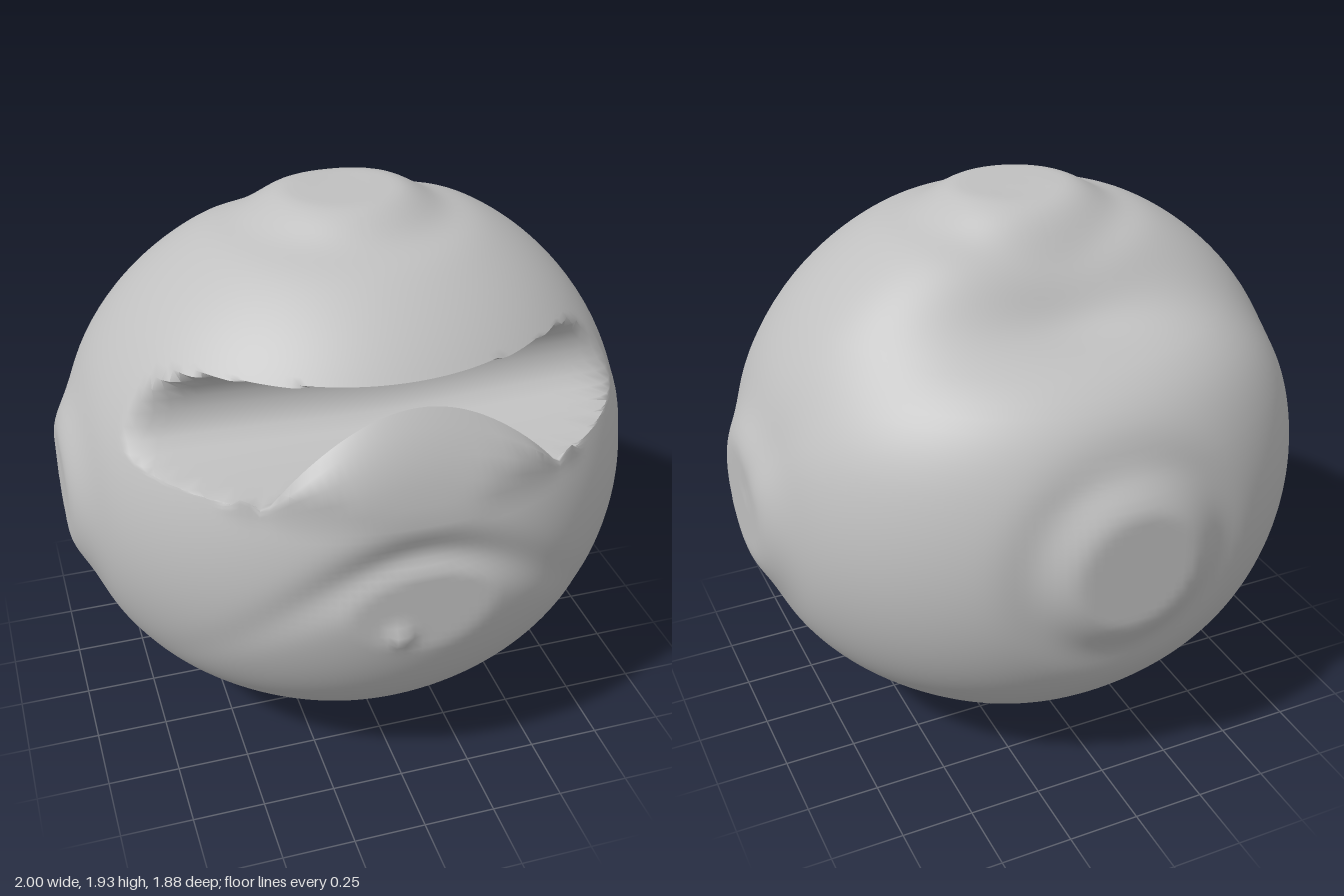
import * as THREE from 'three';
import { toCreasedNormals } from 'three/addons/utils/BufferGeometryUtils.js';

const CENTER = 0.965; // height of the ball's middle
const COLUMNS = 192;
const bell = (t, width) => Math.exp(-((t / width) ** 2));

// Distance from the middle to the lumpy skin along a unit direction
function skinRadius(x, y, z) {
  let r = 1 / Math.hypot(x, y / 0.965, z / 0.945);
  // flattened poles: a raised rim and a shallow ring dent, [cosine, rim, dent]
  const poles = [
    [x, 0.02, 0.004], [-x, 0.02, 0.004], [y, 0.018, 0.014], [-y, 0.01, 0.014], [-z, 0.016, 0.018],
  ];
  for (const [c, rim, dent] of poles) {
    const angle = Math.acos(Math.min(1, Math.max(-1, c)));
    r += rim * bell(angle - 0.2, 0.09) - dent * bell(angle - 0.37, 0.09);
  }
  // slightly leaner underside
  r -= 0.018 * bell(y + 0.76, 0.2);
  // hollow on the upper back
  const around = Math.atan2(-z, y);
  if (y > 0) r -= 0.17 * bell(around - 0.61, 0.26) * bell(x, 0.52);
  // arched crease below the lip
  if (z > 0) r -= 0.06 * bell(y - 0.11 + 0.9 * x * x, 0.09) * bell(x, 0.38);
  r = Math.min(r, 1 / Math.abs(x), CENTER / Math.abs(y), (z > 0 ? 0.91 : 0.94) / Math.abs(z));
  // small pimple on the front
  if (z > 0) r += 0.035 * Math.exp(-((x + 0.08) ** 2 + (y + 0.2) ** 2) / 0.0014);
  return r;
}

// How far the lower lip rises above the mouth floor
function lipRise(x) {
  const a = Math.abs(x);
  return 0.305 * Math.max(0, 1 - (a / 0.46) ** 2) ** 0.8 + 0.05 * bell(a - 0.51, 0.035);
}

// Minimum of two values with a rounded changeover of width k
function softMin(a, b, k) {
  const h = Math.max(k - Math.abs(a - b), 0);
  return Math.min(a, b) - (h * h) / (4 * k);
}

// Rows from top to bottom: polar angle, depth limit in z, share of lip rise
function makeRows() {
  const rows = [];
  const angleAt = (y) => Math.acos((y - CENTER) / 0.962);
  const capEdge = angleAt(1.59);
  for (let i = 0; i <= 34; i++) rows.push({ angle: (capEdge * i) / 34, limit: 9, lip: 0 });
  // mouth: ceiling, back wall, floor
  const mouth = [
    [0.66, 1.582], [0.57, 1.574], [0.49, 1.555], [0.44, 1.52], [0.41, 1.48], [0.4, 1.44], [0.4, 1.4],
    [0.41, 1.36], [0.43, 1.325], [0.47, 1.295], [0.52, 1.28], [0.58, 1.27], [0.65, 1.265], [0.72, 1.26],
  ];
  for (const [limit, y] of mouth) rows.push({ angle: angleAt(y), limit, lip: 0 });
  // lower lip: inner face, tip, outer face
  const lip = [
    [0.755, 0.2], [0.77, 0.5], [0.78, 0.8], [0.795, 1],
    [0.83, 0.84], [0.865, 0.6], [0.89, 0.35], [0.9, 0.14],
  ];
  lip.forEach(([limit, share], i) => rows.push({ angle: angleAt(1.255 - i * 0.006), limit, lip: share }));
  const start = angleAt(1.19);
  for (let i = 0; i <= 64; i++) {
    rows.push({ angle: start + ((Math.PI - start) * i) / 64, limit: 9, lip: 0 });
  }
  return rows;
}

function makeBody() {
  const rows = makeRows();
  const positions = [];
  const index = [];
  rows.forEach(({ angle, limit, lip }) => {
    const s = Math.sin(angle);
    for (let j = 0; j < COLUMNS; j++) {
      const turn = (j / COLUMNS) * Math.PI * 2;
      const across = Math.sin(turn), forward = Math.cos(turn);
      const r = skinRadius(s * across, Math.cos(angle), s * forward);
      let flat = r * s;
      if (forward > 0.01) {
        // the mouth fades out softly at its corners
        const depth = limit - (lip ? 0 : 0.02 * across ** 2);
        flat = softMin(flat, depth / forward, 0.002 + 0.09 * across ** 4);
      }
      const rise = lip && forward > 0 ? lip * lipRise(0.89 * across) : 0;
      positions.push(flat * across, CENTER + r * Math.cos(angle) + rise, flat * forward);
    }
  });
  const last = rows.length - 2;
  for (let i = 0; i <= last; i++) {
    for (let j = 0; j < COLUMNS; j++) {
      const k = (j + 1) % COLUMNS;
      const a = i * COLUMNS + j, d = i * COLUMNS + k;
      const b = a + COLUMNS, c = d + COLUMNS;
      if (i < last) index.push(a, b, c);
      if (i > 0) index.push(a, c, d);
    }
  }
  const geometry = new THREE.BufferGeometry();
  geometry.setAttribute('position', new THREE.Float32BufferAttribute(positions, 3));
  geometry.setIndex(index);
  return toCreasedNormals(geometry, 1.0);
}

export function createModel() {
  const group = new THREE.Group();
  group.name = 'lumpyBall';
  const clay = new THREE.MeshStandardMaterial({ color: 0xc0c0c0 });
  clay.name = 'greyClay';
  clay.side = THREE.DoubleSide;
  const body = new THREE.Mesh(makeBody(), clay);
  body.name = 'bodyWithOpenMouth';
  group.add(body);
  return group;
}
